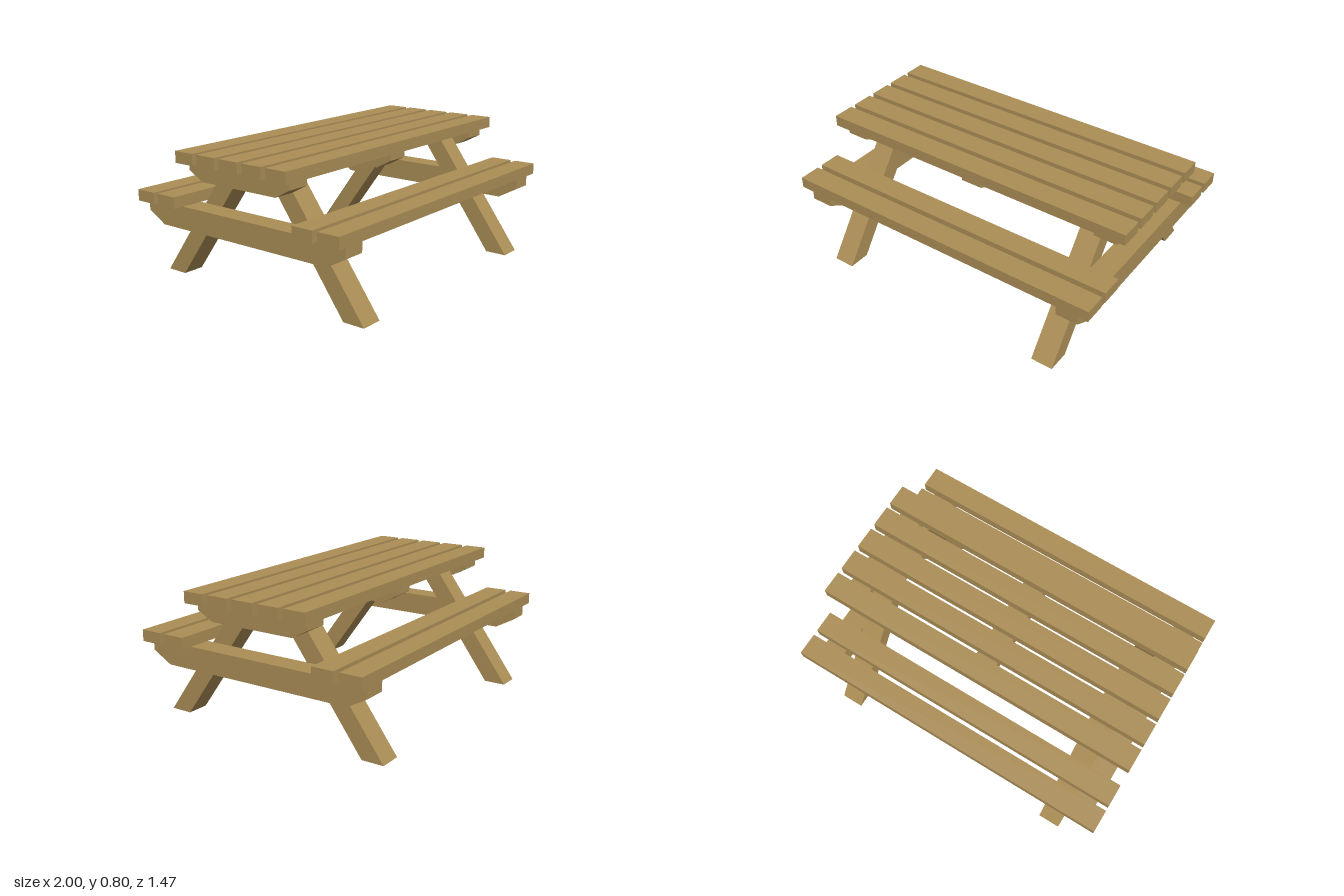
import * as THREE from 'three';

const wood = new THREE.MeshStandardMaterial({ color: 0xab8e56 });
wood.name = 'wood';

// Prism with a [z, y] outline, given thickness along x, centred on x
function prism(name, outline, thickness, x) {
  const shape = new THREE.Shape(outline.map(([z, y]) => new THREE.Vector2(z, y)));
  const geo = new THREE.ExtrudeGeometry(shape, { depth: thickness, bevelEnabled: false });
  geo.translate(0, 0, -thickness / 2);
  geo.rotateY(-Math.PI / 2);
  const mesh = new THREE.Mesh(geo, wood);
  mesh.name = name;
  mesh.position.x = x;
  return mesh;
}

// Full-length board
function plank(name, y, z) {
  const mesh = new THREE.Mesh(new THREE.BoxGeometry(2, 0.0667, 0.1333), wood);
  mesh.name = name;
  mesh.position.set(0, y, z);
  return mesh;
}

// Symmetric beam outline with chamfered lower ends
function beamOutline(topZ, bottomZ, top, shoulder, bottom) {
  return [[-bottomZ, bottom], [bottomZ, bottom], [topZ, shoulder],
    [topZ, top], [-topZ, top], [-topZ, shoulder]];
}

export function createModel() {
  const table = new THREE.Group();
  table.name = 'picnicTable';
  const beamWidth = 0.1333;

  // Table top
  for (let i = -2; i <= 2; i++) table.add(plank('topPlank', 0.7667, i / 6));

  // Benches
  for (const side of [-1, 1]) {
    for (const z of [0.5, 0.6667]) table.add(plank('seatPlank', 0.5, side * z));
  }

  // Beams under the table top
  const topBeam = beamOutline(0.3667, 0.2667, 0.7333, 0.6867, 0.6333);
  for (const x of [-0.8667, 0, 0.8667]) table.add(prism('topBeam', topBeam, beamWidth, x));

  // Beams carrying the benches, and the splayed legs
  const seatBeam = beamOutline(0.72, 0.6, 0.4667, 0.4, 0.3333);
  for (const x of [-1, 1]) {
    table.add(prism('seatBeam', seatBeam, beamWidth, x * 0.8667));
    for (const z of [-1, 1]) {
      const leg = [[0.6, 0], [0.7333, 0], [0.1967, 0.7333], [0.0633, 0.7333]]
        .map(([lz, y]) => [lz * z, y]);
      table.add(prism('leg', leg, beamWidth, x * 0.7333));
    }
  }
  return table;
}
